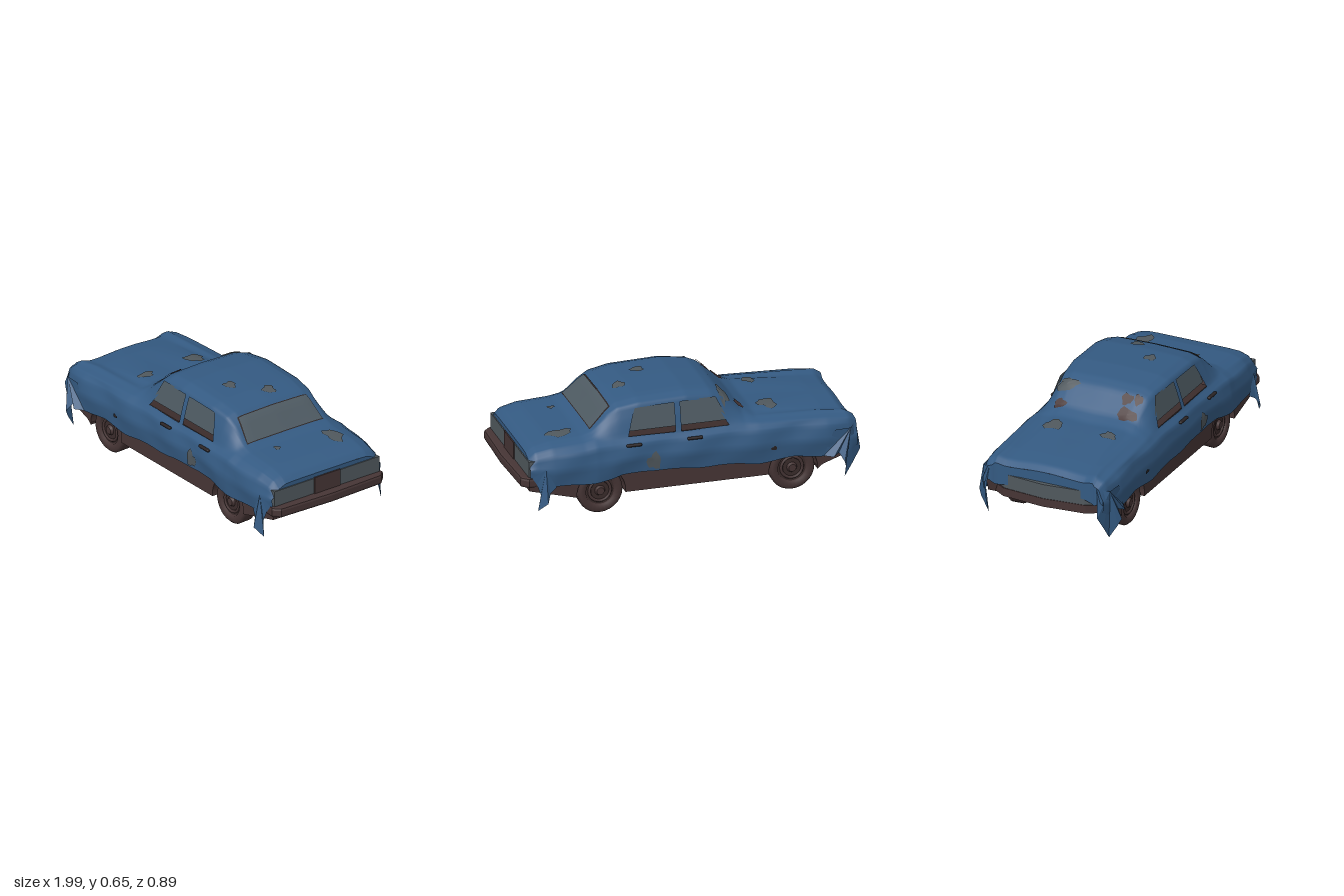
import * as THREE from 'three';
import { RoundedBoxGeometry } from 'three/addons/geometries/RoundedBoxGeometry.js';

const mat = (name, color) => {
  const m = new THREE.MeshStandardMaterial({ color, side: THREE.DoubleSide });
  m.name = name;
  return m;
};
const { lerp, clamp } = THREE.MathUtils;
const outline = pts => new THREE.Shape(pts.map(p => new THREE.Vector2(...p)));

// Cover stations: x, hem height, side width, belt height, belt width, top height, top width
const stations = [
  [-0.975, 0.23, 0.375, 0.37, 0.345, 0.39, 0.27],
  [-0.93, 0.2, 0.39, 0.398, 0.36, 0.418, 0.27],
  [-0.8, 0.197, 0.4, 0.412, 0.36, 0.432, 0.25],
  [-0.6, 0.212, 0.395, 0.42, 0.36, 0.445, 0.24],
  [-0.4, 0.2, 0.4, 0.43, 0.355, 0.46, 0.23],
  [-0.33, 0.205, 0.4, 0.43, 0.35, 0.495, 0.22],
  [-0.21, 0.215, 0.4, 0.435, 0.35, 0.605, 0.24],
  [-0.15, 0.22, 0.4, 0.435, 0.35, 0.63, 0.25],
  [0, 0.22, 0.4, 0.435, 0.355, 0.647, 0.265],
  [0.28, 0.24, 0.4, 0.44, 0.355, 0.637, 0.265],
  [0.4, 0.23, 0.405, 0.44, 0.355, 0.613, 0.255],
  [0.46, 0.215, 0.41, 0.44, 0.355, 0.57, 0.25],
  [0.55, 0.207, 0.415, 0.44, 0.35, 0.478, 0.25],
  [0.61, 0.205, 0.41, 0.43, 0.35, 0.455, 0.25],
  [0.8, 0.205, 0.4, 0.42, 0.35, 0.443, 0.25],
  [0.9, 0.24, 0.388, 0.4, 0.34, 0.42, 0.25],
  [0.935, 0.27, 0.38, 0.365, 0.335, 0.39, 0.25],
];
const X0 = -0.975, X1 = 0.935;

// Point on the cover: s runs from the left hem (0) over the top (7) to the right hem (14)
function coverPoint(x, s) {
  if (s > 7) return coverPoint(x, 14 - s).multiply(new THREE.Vector3(1, 1, -1));
  let i = 0;
  while (i < stations.length - 2 && x > stations[i + 1][0]) i++;
  const a = stations[i], b = stations[i + 1], t = (x - a[0]) / (b[0] - a[0]);
  const [, hem, w, by, bw, ty, tw] = a.map((v, k) => lerp(v, b[k], t));
  const rise = k => lerp(by, ty, k);
  const ring = [
    [w - 0.005, hem + 0.004 * Math.sin(19 * x)], [w + 0.006, lerp(hem, by, 0.45)], [w - 0.012, by - 0.035],
    [bw, by], [lerp(bw, tw + 0.033, 0.5), rise(0.46)], [tw + 0.033, rise(0.85)], [tw * 0.88, rise(0.965)], [0, ty],
  ];
  const k = Math.min(6, Math.floor(s)), f = s - k;
  const fold = Math.sin(17 * x + 1.3 * s) * Math.sin(Math.min(s, 3) / 3 * Math.PI);
  const hood = x < -0.3 && s > 4 ? 0.008 * Math.sin(2.6 * s + 5 * x) * Math.min(1, (-0.3 - x) * 6, s - 4, 7.3 - s) : 0;
  const noseDip = 0.022 * clamp((s - 4) / 2.5, 0, 1) * clamp((-0.8 - x) / 0.17, 0, 1);
  return new THREE.Vector3(x + noseDip, lerp(ring[k][1], ring[k + 1][1], f) + hood,
    lerp(ring[k][0], ring[k + 1][0], f) + 0.005 * fold);
}

// Cover point at a given height (side) or z (top), lifted slightly along the normal
function onCover(x, axis, value, lift, side = 1) {
  let lo = axis === 'y' ? 0 : 2.5, hi = 7;
  const target = axis === 'y' ? value : -Math.abs(value);
  for (let i = 0; i < 24; i++) {
    const m = (lo + hi) / 2, p = coverPoint(x, m);
    if ((axis === 'y' ? p.y : -p.z) < target) lo = m; else hi = m;
  }
  const p = coverPoint(x, lo), e = 0.004;
  const dx = coverPoint(x + e, lo).sub(coverPoint(x - e, lo));
  const ds = coverPoint(x, Math.min(7, lo + e)).sub(coverPoint(x, lo - e));
  p.addScaledVector(dx.cross(ds).normalize(), lift);
  if (axis === 'z' ? value < 0 : side < 0) p.z *= -1;
  return p;
}

// Surface from a rule mapping u, v in 0..1 to a point
function sheet(nu, nv, rule) {
  const g = new THREE.PlaneGeometry(1, 1, nu, nv), p = g.attributes.position;
  for (let i = 0; i < p.count; i++) {
    const q = rule(p.getX(i) + 0.5, p.getY(i) + 0.5);
    p.setXYZ(i, q.x, q.y, q.z);
  }
  g.computeVertexNormals();
  return g;
}

// Whole cover, its columns slanted along the window edges and the four side windows left open
function coverGeometry() {
  const low = [X0, -0.235, 0.045, 0.08, 0.355, X1], high = [X0, -0.155, 0.04, 0.075, 0.305, X1];
  const cols = [0, 52, 68, 71, 87, 132], rows = 56;
  const g = sheet(132, rows, (u, v) => {
    const s = v * 14, t = clamp((Math.min(s, 14 - s) - 3) / 1.75, 0, 1), c = u * 132;
    let k = 0;
    while (k < 4 && c > cols[k + 1] + 1e-4) k++;
    const f = (c - cols[k]) / (cols[k + 1] - cols[k]);
    return coverPoint(lerp(lerp(low[k], low[k + 1], f), lerp(high[k], high[k + 1], f), t), s);
  });
  const open = i => {
    const quad = Math.floor(i / 6), c = quad % 132, r = Math.floor(quad / 132), row = Math.min(r, rows - 1 - r);
    return row >= 12 && row < 19 && ((c >= 52 && c < 68) || (c >= 71 && c < 87));
  };
  g.setIndex([...g.index.array].filter((_, i) => !open(i)));
  return g;
}

// Ragged torn patch on the cover
function tear(x, value, rx, rv, axis, side) {
  return sheet(14, 2, (u, v) => {
    const a = -u * Math.PI * 2, r = v * (1 + 0.17 * Math.sin(3 * a + 9 * x) + 0.13 * Math.sin(5 * a + 20 * value));
    return onCover(x + Math.cos(a) * r * rx, axis, value + Math.sin(a) * r * rv, 0.006, side);
  });
}

// Triangle fan through a short list of points
function fan(points) {
  const flat = [];
  for (let i = 1; i < points.length - 1; i++) flat.push(...points[0], ...points[i], ...points[i + 1]);
  const g = new THREE.BufferGeometry();
  g.setAttribute('position', new THREE.Float32BufferAttribute(flat, 3));
  g.computeVertexNormals();
  return g;
}

export function createModel() {
  const blue = mat('coverBlue', 0x345a82), grey = mat('bareGrey', 0x50585d), glass = mat('dustyGlass', 0x4e5a62);
  const rust = mat('rustBrown', 0x463535), dark = mat('darkTrim', 0x2b2424), hub = mat('hubBrown', 0x3a2c2b);
  const car = new THREE.Group();
  car.name = 'coveredCar';
  const add = (name, geo, m, x = 0, y = 0, z = 0, parent = car) => {
    const mesh = new THREE.Mesh(geo, m);
    mesh.name = name;
    mesh.position.set(x, y, z);
    parent.add(mesh);
    return mesh;
  };

  // Draped cover with lips over both ends
  add('cover', coverGeometry(), blue);
  for (const [name, x, drop] of [['frontLip', X0, 0.275], ['rearLip', X1, 0.352]]) {
    add(name, sheet(40, 1, (u, v) => {
      const p = coverPoint(x, lerp(1.2, 12.8, u));
      if (v < 0.5) p.y = Math.min(p.y, drop + 0.012 * Math.sin(u * 17));
      return p;
    }), blue);
  }

  // Hanging corners of the cover
  for (const s of [1, -1]) {
    const corner = pts => fan(pts.map(([x, y, z]) => [x, y, z * s]));
    add('frontCornerDrape', corner([[-0.93, 0.35, 0.395], [-0.975, 0.37, 0.335], [-0.998, 0.2, 0.35], [-0.95, 0.125, 0.365],
      [-0.9, 0.05, 0.375], [-0.893, 0.13, 0.425], [-0.88, 0.17, 0.445], [-0.855, 0.215, 0.41], [-0.82, 0.2, 0.435],
      [-0.77, 0.2, 0.4], [-0.83, 0.35, 0.402]]), blue);
    add('rearCornerDrape', corner([[0.85, 0.32, 0.402], [0.79, 0.205, 0.402], [0.83, 0.18, 0.42], [0.85, 0.13, 0.445],
      [0.9, 0.08, 0.41], [0.88, 0.17, 0.4], [0.9, 0.23, 0.39], [0.925, 0.27, 0.385]]), blue);
  }

  // Lower body with wheel arches, the floor between the wheels, and the cabin deck
  const wheelX = [-0.6, 0.52];
  const sill = new THREE.Shape();
  sill.moveTo(-0.93, 0.27);
  sill.lineTo(-0.91, 0.19);
  sill.lineTo(-0.74, 0.13);
  for (const x of wheelX) sill.absarc(x, 0.13, 0.142, Math.PI + 0.1, -0.1, true);
  sill.lineTo(0.94, 0.19);
  sill.lineTo(0.94, 0.265);
  sill.lineTo(0.8, 0.29);
  sill.lineTo(-0.9, 0.29);
  const sillGeo = new THREE.ExtrudeGeometry(sill, { depth: 0.75, bevelEnabled: false, curveSegments: 16 });
  add('lowerBody', sillGeo, rust, 0, 0, -0.375);
  const floor = outline([[-0.9, 0.2], [-0.74, 0.115], [0.63, 0.115], [0.94, 0.19], [0.94, 0.26], [-0.9, 0.26]]);
  add('floor', new THREE.ExtrudeGeometry(floor, { depth: 0.53, bevelEnabled: false }), hub, 0, 0, -0.265);
  add('cabinDeck', new THREE.BoxGeometry(0.66, 0.03, 0.69), hub, 0.06, 0.418, 0);

  // Nose panel, tail panel, plate recess and bumpers
  const nose = outline([[-0.88, -0.36], [-0.955, -0.25], [-0.98, 0], [-0.955, 0.25], [-0.88, 0.36]]);
  const slab = (shape, h) => new THREE.ExtrudeGeometry(shape, { depth: h, bevelEnabled: false }).rotateX(Math.PI / 2);
  add('nosePanel', slab(nose, 0.09), grey, 0, 0.33, 0);
  add('frontBumper', slab(nose, 0.05), rust, 0, 0.245, 0).scale.set(1.003, 1, 1.03);
  add('tailPanel', new THREE.BoxGeometry(0.05, 0.1, 0.735), grey, 0.916, 0.313, 0);
  add('plateRecess', new THREE.BoxGeometry(0.008, 0.1, 0.18), rust, 0.943, 0.32, 0);
  const bumper = outline([[0.875, -0.37], [0.94, -0.375], [0.97, -0.345], [0.982, 0], [0.97, 0.345], [0.94, 0.375], [0.875, 0.37]]);
  add('rearBumper', new THREE.ExtrudeGeometry(bumper, { depth: 0.03, bevelThickness: 0.015, bevelSize: 0.014, bevelSegments: 2 })
    .rotateX(Math.PI / 2), rust, 0, 0.255, 0);

  // Recessed, leaning side windows with a gap below, door handles and side tears
  for (const s of [1, -1]) {
    add('sideWindow', sheet(1, 1, (u, v) =>
      new THREE.Vector3(lerp(lerp(-0.235, -0.17, v), lerp(0.365, 0.325, v), u), lerp(0.46, 0.595, v), s * lerp(0.328, 0.296, v))), glass);
    for (const x of [-0.02, 0.335]) add('doorHandle', new RoundedBoxGeometry(0.09, 0.016, 0.02, 2, 0.007), dark, x, 0.404, s * 0.4);
    add('sideTear', tear(0.22, 0.295, 0.042, 0.048, 'y', s), grey);
    add('smallSideTear', tear(-0.48, 0.285, 0.018, 0.012, 'y', s), dark);
  }

  // Rear window
  const rearPane = (x0, x1, z0, z1, lift) => sheet(8, 16, (u, v) =>
    onCover(lerp(x0, x1, u), 'z', lerp(z0, z1, u) * (1 - 2 * v), lift));
  add('rearWindowFrame', rearPane(0.428, 0.556, 0.241, 0.267, 0.004), dark);
  add('rearWindow', rearPane(0.434, 0.551, 0.235, 0.261, 0.008), glass);

  // Tears on hood, roof, trunk and windshield
  for (const [x, z, rx, rz] of [[-0.505, -0.17, 0.055, 0.055], [-0.5, 0.17, 0.035, 0.045], [0.325, -0.06, 0.037, 0.038],
    [0.17, 0.095, 0.038, 0.034], [0.72, -0.215, 0.075, 0.045], [0.66, 0.135, 0.022, 0.018], [-0.225, -0.225, 0.032, 0.07]]) {
    add('topTear', tear(x, z, rx, rz, 'z'), grey);
  }
  for (const [x, z, rx, rz] of [[-0.32, -0.22, 0.026, 0.035], [-0.31, 0.19, 0.032, 0.06], [-0.24, 0.16, 0.026, 0.035],
    [-0.23, 0.225, 0.024, 0.025]]) {
    add('windshieldTear', tear(x, z, rx, rz, 'z'), rust);
  }

  // Wheels: rounded tyre, stepped rim and hub cap
  const tyre = [[0.08, -0.045], [0.115, -0.045], [0.13, -0.035], [0.132, 0.03], [0.118, 0.045], [0.085, 0.043], [0.08, 0.025]];
  const tyreGeo = new THREE.LatheGeometry(tyre.map(p => new THREE.Vector2(...p)), 28);
  for (const x of wheelX) for (const s of [1, -1]) {
    const wheel = new THREE.Group();
    wheel.name = 'wheel';
    wheel.position.set(x, 0.132, s * 0.316);
    wheel.rotation.x = s * Math.PI / 2;
    add('tyre', tyreGeo, rust, 0, 0, 0, wheel);
    add('rim', new THREE.CylinderGeometry(0.082, 0.082, 0.06, 24), hub, 0, 0, 0, wheel);
    add('rimRing', new THREE.TorusGeometry(0.062, 0.009, 6, 24).rotateX(Math.PI / 2), rust, 0, 0.03, 0, wheel);
    add('hubCap', new THREE.CylinderGeometry(0.022, 0.032, 0.02, 16), rust, 0, 0.036, 0, wheel);
    car.add(wheel);
  }
  return car;
}
